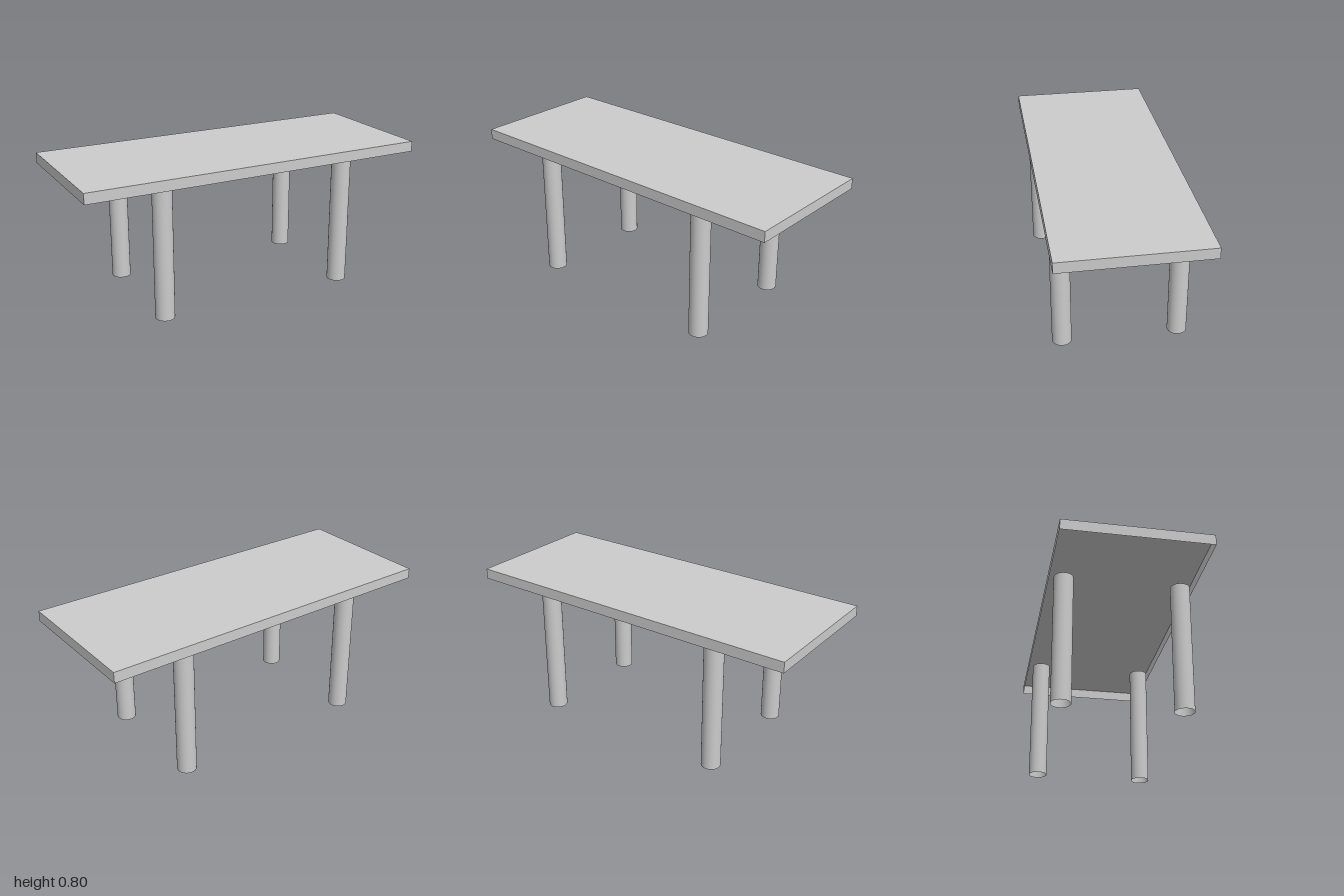
import * as THREE from 'three';

const material = new THREE.MeshStandardMaterial({ color: 0xcccccc, side: THREE.DoubleSide });

// Hollow slab: a box without its bottom face
function openBox(width, height, depth) {
  const geometry = new THREE.BoxGeometry(width, height, depth);
  const index = Array.from(geometry.index.array);
  index.splice(18, 6); // fourth face is the underside
  geometry.setIndex(index);
  geometry.clearGroups();
  return geometry;
}

export function createModel() {
  const table = new THREE.Group();
  table.name = 'table';

  const height = 0.8, rim = 0.06, legHeight = height - rim;

  // Table top with a thin rim, open below
  const top = new THREE.Mesh(openBox(2, rim, 0.8), material);
  top.name = 'tableTop';
  top.position.y = height - rim / 2;
  table.add(top);

  // Four round tube legs, reaching the lower edge of the rim
  const legGeometry = new THREE.CylinderGeometry(0.054, 0.054, legHeight, 32, 1, true);
  for (const [side, sx] of [['Left', 1], ['Right', -1]]) {
    for (const [end, sz] of [['front', 1], ['back', -1]]) {
      const leg = new THREE.Mesh(legGeometry, material);
      leg.name = `${end}${side}Leg`;
      leg.position.set(sx * 0.557, legHeight / 2, sz * 0.322);
      table.add(leg);
    }
  }
  return table;
}
